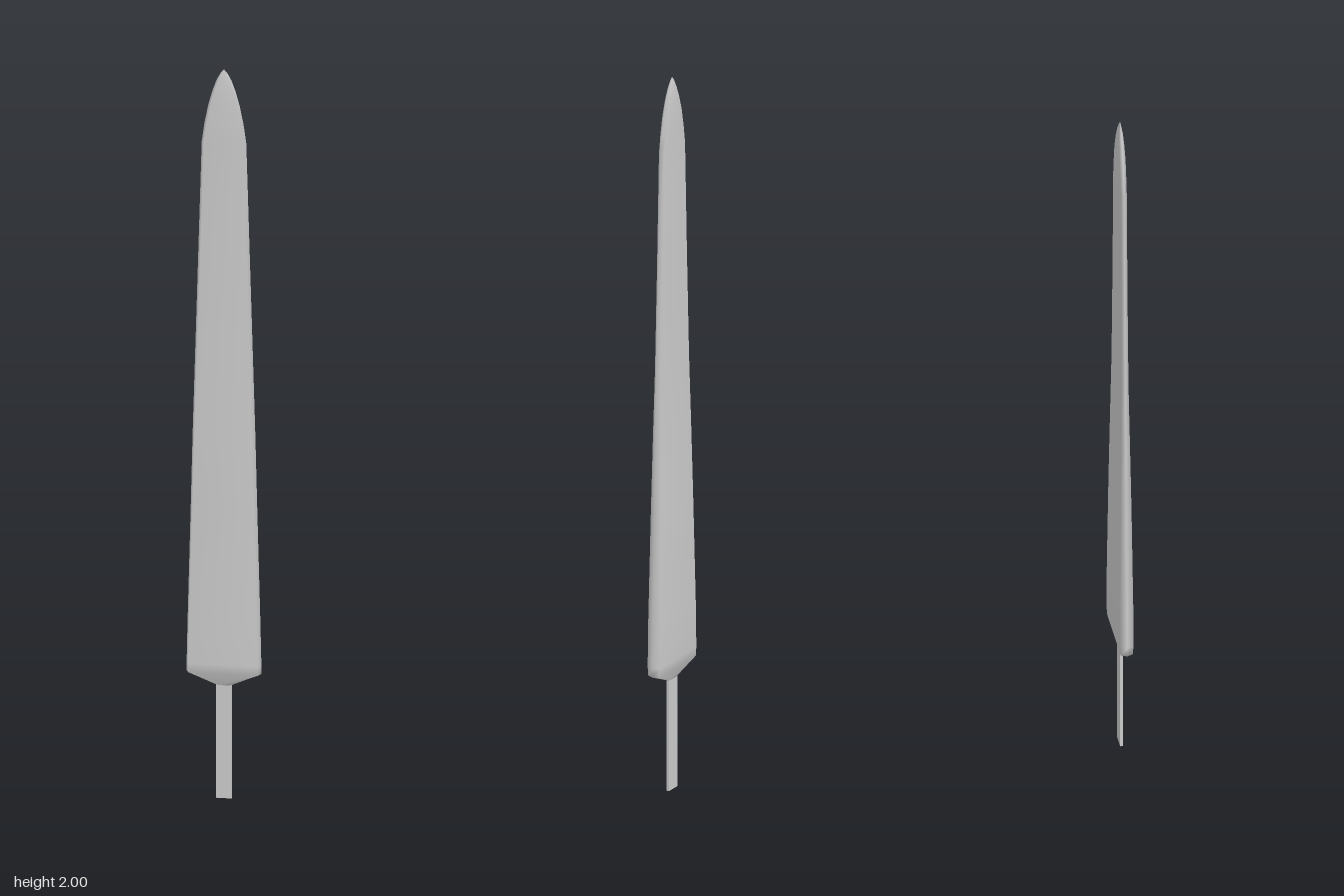
import * as THREE from 'three';

// Six-sided section: broad flat faces, narrow bevels meeting at the cutting edges
function section(y, w, t) {
  const f = Math.max(w - Math.min(0.007, w * 0.3), 0);
  return [[w, 0], [f, t], [-f, t], [-w, 0], [-f, -t], [f, -t]].map(([x, z]) => [x, y, z]);
}

function loft(rings) {
  const n = rings[0].length;
  const index = [];
  for (let i = 0; i < rings.length - 1; i++) {
    for (let j = 0; j < n; j++) {
      const a = i * n + j, b = i * n + (j + 1) % n;
      index.push(a, a + n, b, b, a + n, b + n);
    }
  }
  // bottom cap
  for (let j = 1; j < n - 1; j++) index.push(0, j, j + 1);
  const geo = new THREE.BufferGeometry();
  geo.setAttribute('position', new THREE.Float32BufferAttribute(rings.flat(2), 3));
  geo.setIndex(index);
  geo.computeVertexNormals();
  return geo;
}

export function createModel() {
  const group = new THREE.Group();
  const steel = new THREE.MeshStandardMaterial({ color: 0xcccccc });

  // Blade: [height, half width, half thickness] from shoulder to point
  const stations = [
    [0.31, 0.02, 0.004], [0.345, 0.099, 0.016], [0.37, 0.099, 0.018],
    [0.5, 0.096, 0.018], [0.8, 0.088, 0.015], [1.0, 0.083, 0.012],
    [1.2, 0.077, 0.009], [1.5, 0.068, 0.008], [1.8, 0.059, 0.008],
    [1.85, 0.052, 0.008], [1.9, 0.042, 0.008], [1.94, 0.031, 0.007],
    [1.97, 0.02, 0.005], [1.99, 0.009, 0.002], [2.0, 0, 0],
  ];
  const blade = new THREE.Mesh(loft(stations.map((s) => section(...s))), steel);
  blade.name = 'blade';
  group.add(blade);

  // Thin flat tang running up into the shoulder
  const tang = new THREE.Mesh(new THREE.BoxGeometry(0.042, 0.315, 0.007), steel);
  tang.name = 'tang';
  tang.position.y = 0.1575;
  group.add(tang);

  return group;
}
